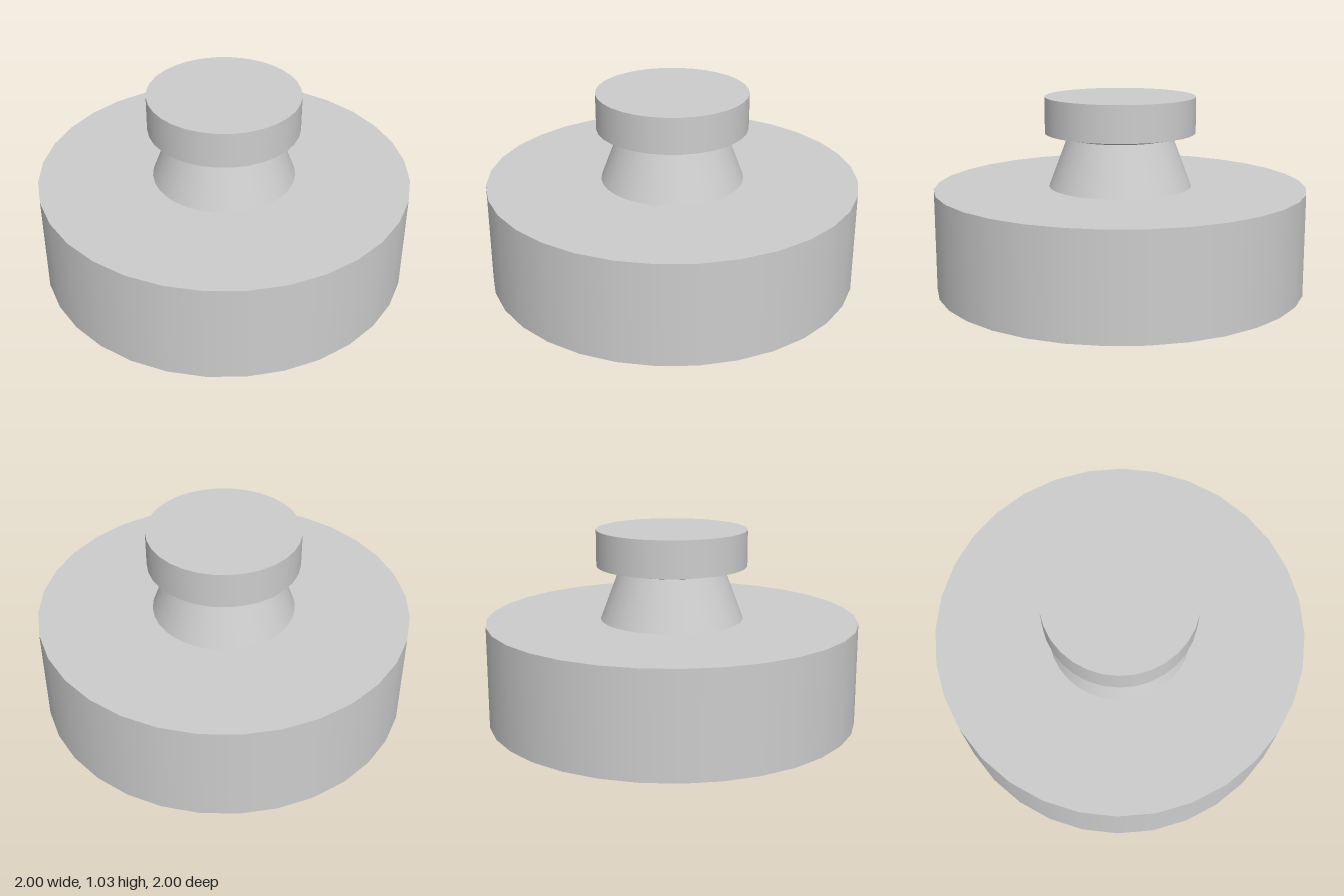
import * as THREE from 'three';
import { mergeGeometries } from 'three/addons/utils/BufferGeometryUtils.js';

const SIDES = 32;

// Turns a profile one straight run at a time, so corners stay crisp and walls smooth
function turned(profile) {
  const bands = [];
  for (let i = 0; i < profile.length - 1; i++) {
    const run = [profile[i], profile[i + 1]].map(([r, y]) => new THREE.Vector2(r, y));
    bands.push(new THREE.LatheGeometry(run, SIDES));
  }
  return mergeGeometries(bands);
}

export function createModel() {
  const group = new THREE.Group();
  group.name = 'ceilingLamp';

  const metal = new THREE.MeshStandardMaterial({ name: 'greyMetal', color: 0xcccccc });
  const glass = new THREE.MeshStandardMaterial({ name: 'warmGlass', color: 0xe6d8bc });

  const add = (name, geometry, material) => {
    const mesh = new THREE.Mesh(geometry, material);
    mesh.name = name;
    group.add(mesh);
    return mesh;
  };

  // Hollow drum shade, open below
  add('shade', turned([
    [0, 0.51], [0.94, 0.51], [0.94, 0], [1, 0], [1, 0.55], [0.385, 0.55],
  ]), metal);

  // Tapered neck
  add('neck', turned([[0.385, 0.55], [0.285, 0.815]]), metal);

  // Mounting cap with a bevelled underside
  add('mountingCap', turned([
    [0.285, 0.815], [0.405, 0.84], [0.405, 1.035], [0, 1.035],
  ]), metal);

  // Bulb set into the shade
  add('bulb', new THREE.SphereGeometry(0.288, 32, 20), glass).position.y = 0.44;

  return group;
}
